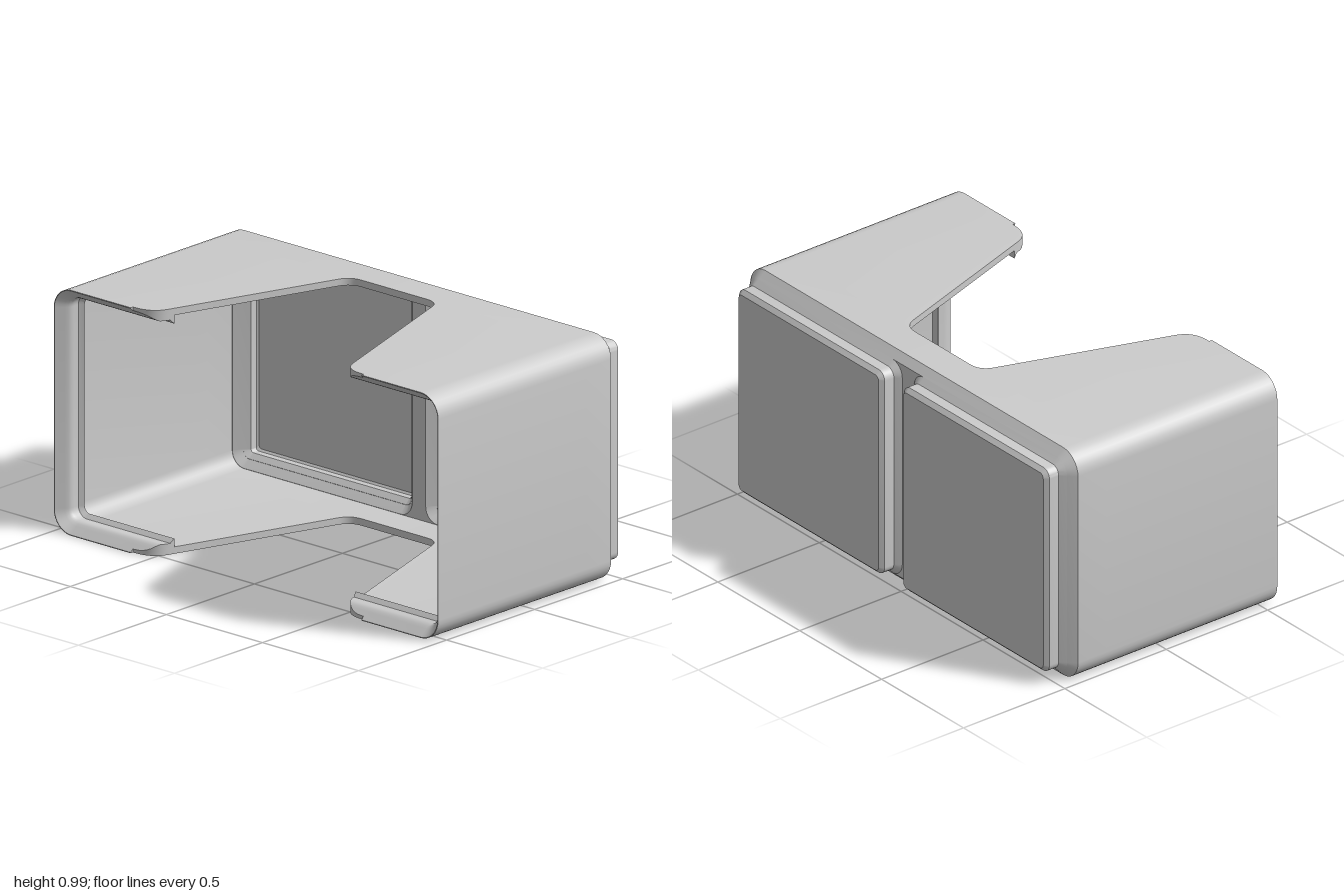
import * as THREE from 'three';
import { toCreasedNormals } from 'three/addons/utils/BufferGeometryUtils.js';

const H = 0.994;       // overall height
const R = 0.09;        // outer corner radius
const WALL = 0.028;    // wall thickness
const material = new THREE.MeshStandardMaterial({ color: 0xcccccc, side: THREE.DoubleSide });

// Quarter-circle points
function arc(cx, cy, r, start, n = 8) {
  return Array.from({ length: n + 1 }, (_, i) => {
    const a = start + (i / n) * Math.PI / 2;
    return [cx + r * Math.cos(a), cy + r * Math.sin(a)];
  });
}

// Counter-clockwise rounded rectangle x0..x1 by 0..H, shrunk by an inset
function outline(x0, x1, inset) {
  const r = Math.max(0.012, R - inset), k = inset + r;
  return [
    ...arc(x1 - k, k, r, -Math.PI / 2), ...arc(x1 - k, H - k, r, 0),
    ...arc(x0 + k, H - k, r, Math.PI / 2), ...arc(x0 + k, k, r, Math.PI),
  ];
}
const ring = (x0, x1, inset, z) => {
  const pts = outline(x0, x1, inset).map(([x, y]) => new THREE.Vector3(x, y, z));
  return [...pts, pts[0]];
};
const point = (x, z, like) => like.map(() => new THREE.Vector3(x, H / 2, z));

// Skin between successive rows of points, skipping collapsed triangles
function skin(rows, out = []) {
  const tri = (a, b, c) => {
    const area = b.clone().sub(a).cross(c.clone().sub(a)).length();
    if (area > 1e-10) out.push(a.x, a.y, a.z, b.x, b.y, b.z, c.x, c.y, c.z);
  };
  for (let i = 0; i + 1 < rows.length; i++) {
    const a = rows[i], b = rows[i + 1];
    for (let j = 0; j + 1 < a.length; j++) {
      tri(a[j], b[j], a[j + 1]);
      tri(a[j + 1], b[j], b[j + 1]);
    }
  }
  return out;
}

function addMesh(group, name, positions) {
  let geo = new THREE.BufferGeometry();
  geo.setAttribute('position', new THREE.Float32BufferAttribute(positions, 3));
  geo = toCreasedNormals(geo, 0.6);
  const mesh = new THREE.Mesh(geo, material);
  mesh.name = name;
  group.add(mesh);
}

// Depth of the inner wall surface, thickened to a stepped lip at the mouth
const LIP = [[-1, WALL], [0.4395, WALL], [0.44, 0.062], [0.457, 0.045], [0.5, 0.045], [0.548, 0.003]];
function wallInset(z) {
  const i = Math.max(1, LIP.findIndex(([lz]) => z <= lz + 1e-6));
  const [z0, d0] = LIP[i - 1], [z1, d1] = LIP[i];
  return THREE.MathUtils.mapLinear(z, z0, z1, d0, d1);
}

// Half shell: C-shaped sections whose ends follow the tapered cutout
function halfShell(side) {
  const edge = z => 0.227 + (z + 0.295) / 3;
  const cut = new THREE.Path();
  cut.moveTo(0, -0.435);
  cut.lineTo(0, -0.295);
  cut.lineTo(0.17, -0.295);
  cut.quadraticCurveTo(0.227, -0.295, edge(-0.24), -0.24);
  for (const z of [0.4395, 0.44, 0.457, 0.465]) cut.lineTo(edge(z), z);
  cut.quadraticCurveTo(edge(0.535), 0.535, 0.59, 0.535);
  cut.lineTo(0.6, 0.535);
  cut.lineTo(0.6, 0.548);

  const section = (x, z, d) => [
    [x, d], ...arc(1 - R, R, R - d, -Math.PI / 2),
    ...arc(1 - R, H - R, R - d, 0), [x, H - d],
  ].map(([px, py]) => new THREE.Vector3(px * side, py, z));
  const stations = cut.getPoints(8);
  const outer = stations.map(p => section(p.x, p.y, 0));
  const inner = stations.map(p => section(p.x, p.y, wallInset(p.y)));
  const ends = (rows, i) => rows.slice(1).map(r => r.at(i));

  const strips = [
    [...outer].reverse(),                   // outside
    inner,                                  // inside
    [inner.at(-1), outer.at(-1)],           // mouth rim
    [ends(inner, 0), ends(outer, 0)],       // lower cutout edge
    [ends(outer, -1), ends(inner, -1)],     // upper cutout edge
  ];
  const out = [];
  for (const s of strips) skin(side > 0 ? s : [...s].reverse(), out);
  return out;
}

const cells = [[0.006, 1], [-1, -0.006]];

// Flat rounded plate with an opening for each cell
function addPlate(group, name, inset, hole, z) {
  const vec = pts => pts.map(([x, y]) => new THREE.Vector2(x, y));
  const shape = new THREE.Shape(vec(outline(-1, 1, inset)));
  for (const [x0, x1] of cells) shape.holes.push(new THREE.Path(vec(outline(x0, x1, hole))));
  const mesh = new THREE.Mesh(new THREE.ShapeGeometry(shape), material);
  mesh.name = name;
  mesh.position.z = z;
  group.add(mesh);
}

export function createModel() {
  const model = new THREE.Group();
  model.name = 'openBin';

  addMesh(model, 'leftShell', halfShell(1));
  addMesh(model, 'rightShell', halfShell(-1));

  // Chamfered back edge and the web between the two feet
  addMesh(model, 'backChamfer', skin([ring(-1, 1, 0, -0.435), ring(-1, 1, 0.03, -0.465)]));
  addPlate(model, 'innerDivider', WALL, 0.029, -0.435);
  addPlate(model, 'outerWeb', 0.03, 0.06, -0.465);

  // Stepped hollow feet: outside and recess
  cells.forEach(([x0, x1], i) => {
    const label = i ? 'right' : 'left', mid = (x0 + x1) / 2;
    const rings = steps => steps.map(([d, z]) => ring(x0, x1, d, z));
    const foot = rings([[0.03, -0.465], [0.053, -0.488], [0.053, -0.533], [0.07, -0.55]]);
    foot.push(point(mid, -0.55, foot[0]));
    addMesh(model, label + 'Foot', skin(foot));

    const recess = rings([[0.029, -0.435], [0.08, -0.486], [0.08, -0.515], [0.088, -0.523]]);
    recess.push(point(mid, -0.523, recess[0]));
    addMesh(model, label + 'Recess', skin(recess.reverse()));
  });
  return model;
}
